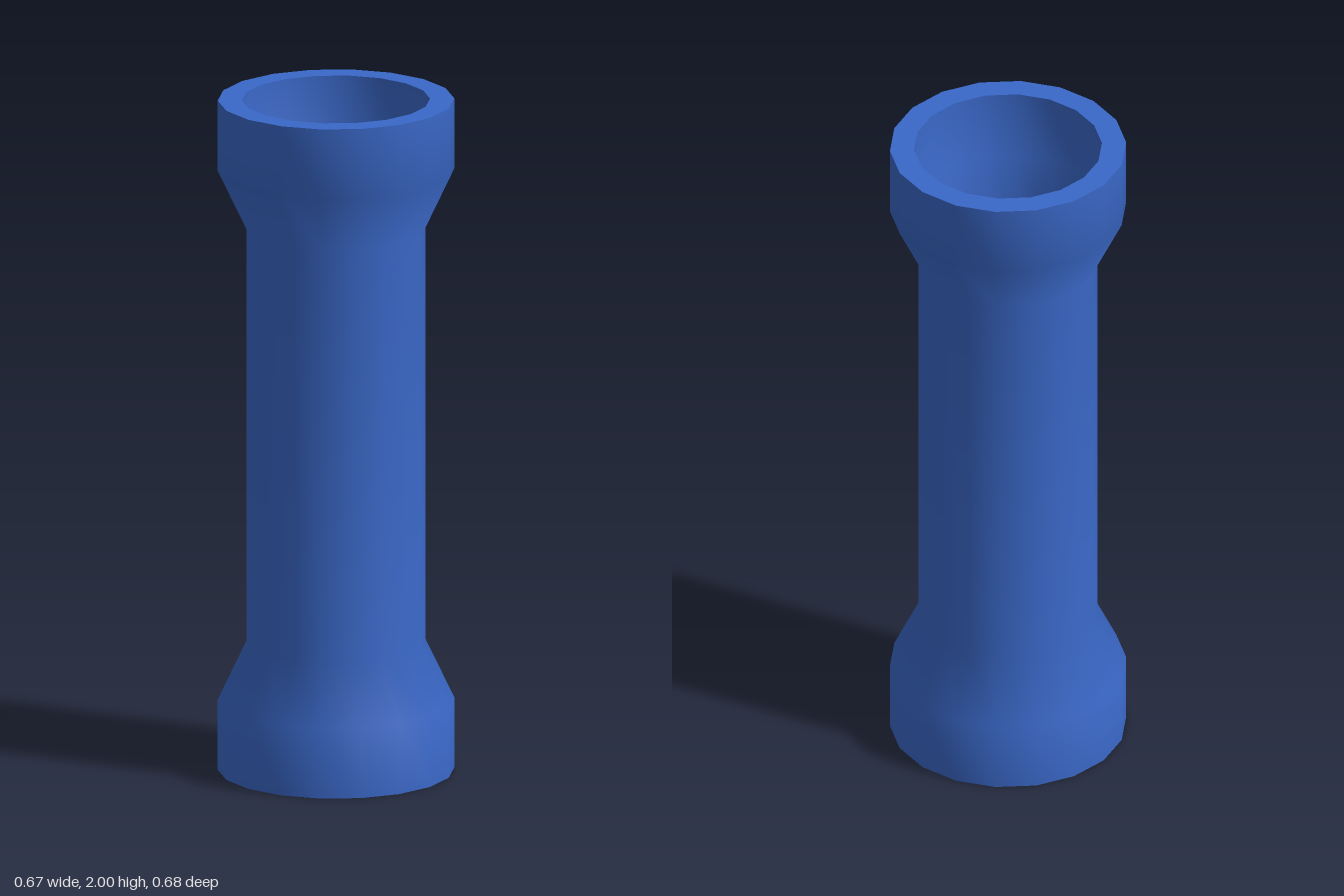
import * as THREE from 'three';

const SIDES = 18;
const HEIGHT = 2;

export function createModel() {
  const group = new THREE.Group();
  group.name = 'flaredTube';
  const material = new THREE.MeshStandardMaterial({ color: 0x3a68c8 });

  // Wall profile from bottom to top: straight collar, taper, shaft, taper, collar
  const wall = (collarRadius, shaftRadius) => [
    [collarRadius, 0],
    [collarRadius, 0.21],
    [shaftRadius, 0.385],
    [shaftRadius, HEIGHT - 0.385],
    [collarRadius, HEIGHT - 0.21],
    [collarRadius, HEIGHT],
  ];
  const outer = wall(0.342, 0.259);
  const inner = wall(0.272, 0.205).reverse();

  // Each surface is its own lathe, so the rims stay sharp and the walls smooth
  const addLathe = (name, points) => {
    const profile = points.map(([r, y]) => new THREE.Vector2(r, y));
    const mesh = new THREE.Mesh(new THREE.LatheGeometry(profile, SIDES), material);
    mesh.name = name;
    group.add(mesh);
  };

  addLathe('outerWall', outer);
  addLathe('topRim', [outer[5], inner[0]]);
  addLathe('innerWall', inner);
  addLathe('bottomRim', [inner[5], outer[0]]);

  return group;
}
